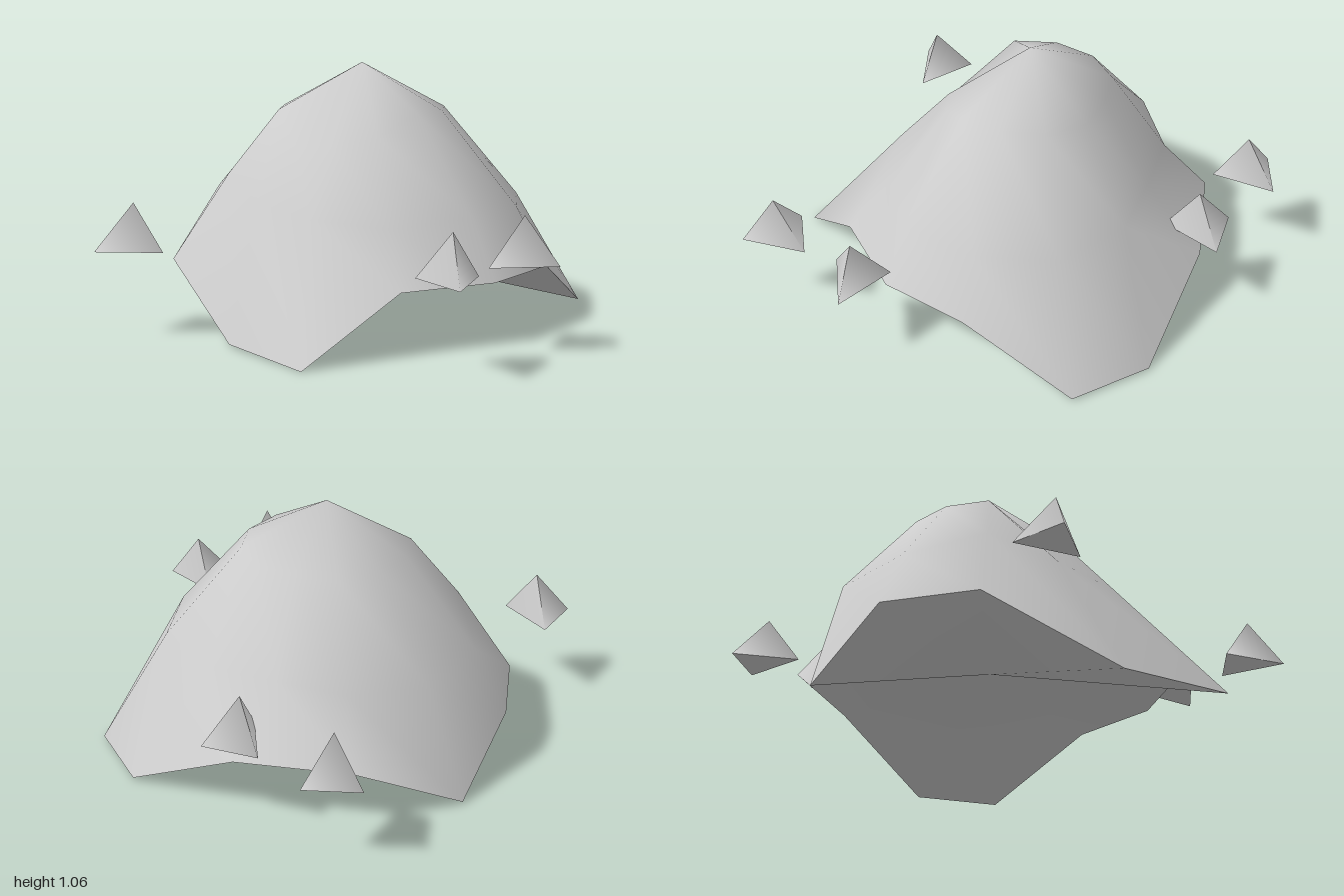
import * as THREE from 'three';

const SIDES = 12;
const CENTRE_X = -0.07;

// Lower rim, counter-clockwise from the front point: [x, y, z]
const RIM = [
  [0.05, 0.01, 0.99], [0.33, 0.26, 0.67], [0.62, 0.26, 0.38], [0.73, 0.26, 0],
  [0.76, 0.02, -0.47], [0.49, 0.02, -0.71], [0, 0.26, -0.78], [-0.47, 0.26, -0.68],
  [-0.81, 0.02, -0.35], [-0.87, 0.26, 0], [-0.77, 0.26, 0.38], [-0.35, 0.02, 0.75],
];

// Ring about the peak; dents override [radius, y] at single corners
function ring(radius, y, dents) {
  return RIM.map((_, i) => {
    const a = (i / SIDES) * Math.PI * 2;
    const [r, h] = dents[i] ?? [radius, y];
    return [CENTRE_X + Math.sin(a) * r, h, Math.cos(a) * r];
  });
}

function surface(points, index) {
  const g = new THREE.BufferGeometry();
  g.setAttribute('position', new THREE.Float32BufferAttribute(points.flat(), 3));
  g.setIndex(index);
  g.computeVertexNormals();
  return g;
}

// Draped upper surface: peak, shoulder ring, waist ring, rim
function moundGeometry() {
  const shoulder = ring(0.35, 0.88, { 0: [0.36, 0.76], 1: [0.35, 0.8], 6: [0.325, 0.88], 11: [0.35, 0.74] });
  const waist = ring(0.67, 0.5, {
    0: [0.58, 0.5], 1: [0.6, 0.47], 5: [0.59, 0.5], 6: [0.52, 0.5], 7: [0.59, 0.5],
    9: [0.66, 0.52], 10: [0.56, 0.62], 11: [0.55, 0.535],
  });
  const points = [[CENTRE_X, 1.07, 0], ...shoulder, ...waist, ...RIM];
  const index = [];
  for (let i = 0; i < SIDES; i++) {
    const j = (i + 1) % SIDES;
    index.push(0, 1 + i, 1 + j);
    for (let k = 0; k < 2; k++) {
      const a = 1 + k * SIDES + i, b = 1 + k * SIDES + j;
      index.push(a, a + SIDES, b + SIDES, a, b + SIDES, b);
    }
  }
  return surface(points, index);
}

// Folded underside: a fan from the centre to the rim
function undersideGeometry() {
  const index = [];
  for (let i = 0; i < SIDES; i++) index.push(SIDES, (i + 1) % SIDES, i);
  return surface([...RIM, [CENTRE_X, 0.26, 0]], index);
}

// Three-sided spike, long toward +z, with its tip above the origin
function spikeGeometry() {
  const g = new THREE.ConeGeometry(0.152, 0.19, 3).scale(0.905, 1, 1.09);
  const p = g.attributes.position;
  for (let i = 0; i < p.count; i++) {
    if (p.getY(i) < 0) p.setZ(i, p.getZ(i) - 0.025);
  }
  return g;
}

export function createModel() {
  const group = new THREE.Group();
  const grey = new THREE.MeshStandardMaterial({ color: 0xcccccc });
  grey.name = 'plain grey';

  const add = (name, geometry) => {
    const mesh = new THREE.Mesh(geometry, grey);
    mesh.name = name;
    group.add(mesh);
    return mesh;
  };

  add('mound', moundGeometry());
  add('underside', undersideGeometry());

  // Floating spikes: tip x, tip z, turn
  const spike = spikeGeometry();
  [
    [-0.458, -0.857, 0.325],
    [-0.024, -0.755, 0.034],
    [0.755, 0.46, 1.575],
    [0.596, 0.873, 0.488],
    [-0.778, 0.705, 1.41],
  ].forEach(([x, z, turn], i) => {
    const mesh = add(`spike${i + 1}`, spike);
    mesh.position.set(x, 0.455, z);
    mesh.rotation.y = turn;
  });

  return group;
}
